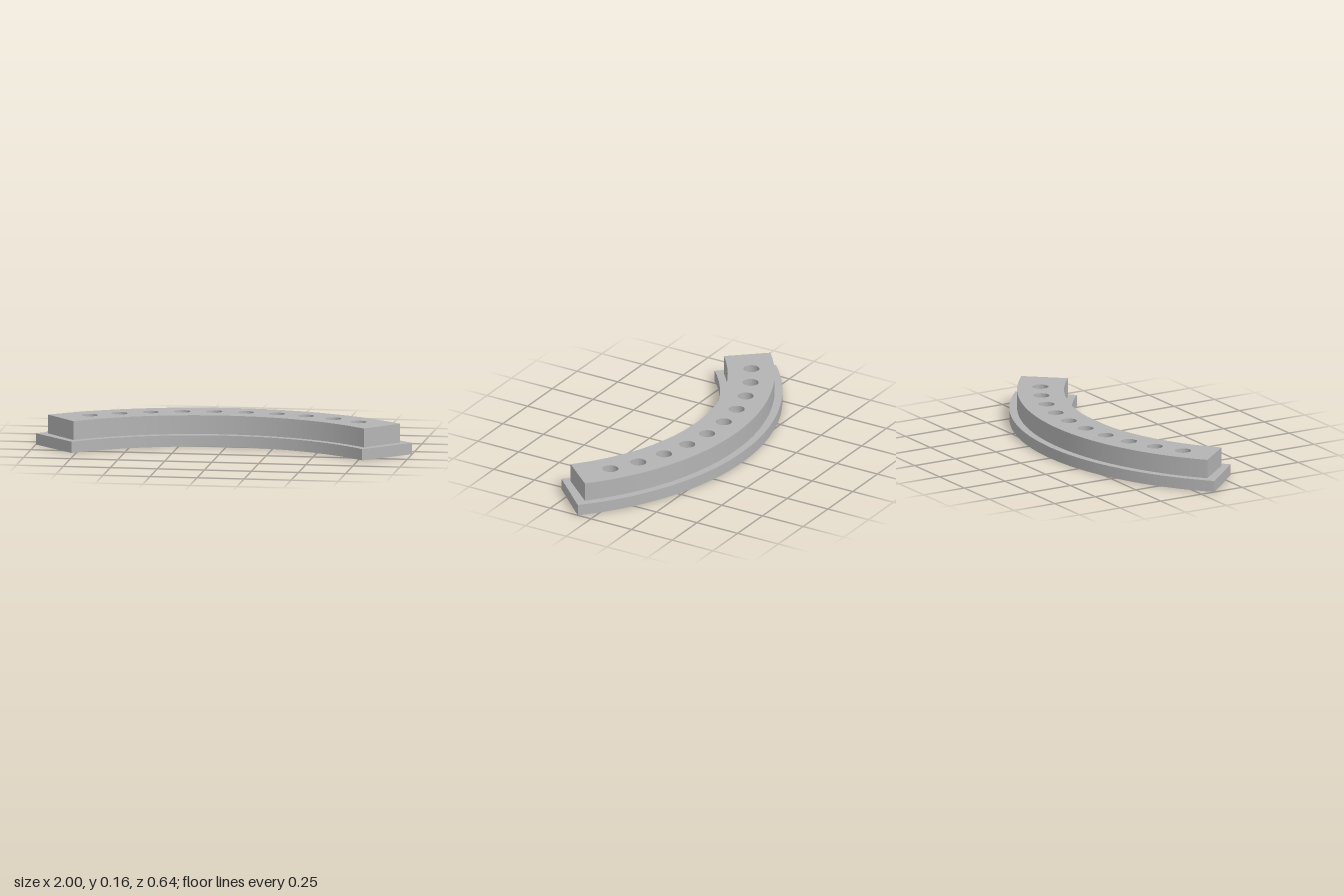
import * as THREE from 'three';
import { toCreasedNormals } from 'three/addons/utils/BufferGeometryUtils.js';

// Circle through (-x, zEnd), (0, zMid), (x, zEnd); shape y is -z
function arcThrough(x, zEnd, zMid) {
  const sag = zEnd - zMid;
  const radius = (x * x + sag * sag) / (2 * sag);
  const cy = -zMid - radius;
  return { cy, radius, end: Math.atan2(-zEnd - cy, x) };
}

// Curved bar with a row of round through holes
function curvedBar(outer, inner, height) {
  const shape = new THREE.Shape();
  shape.absarc(0, outer.cy, outer.radius, outer.end, Math.PI - outer.end, false);
  shape.absarc(0, inner.cy, inner.radius, Math.PI - inner.end, inner.end, true);
  shape.closePath();

  const count = 10, holeRing = 1.29, ringZ = 1.133;
  for (let i = 0; i < count; i++) {
    const a = THREE.MathUtils.degToRad(-33.75 + i * 7.467);
    const hole = new THREE.Path();
    hole.absarc(holeRing * Math.sin(a), holeRing * Math.cos(a) - ringZ, 0.042, 0, Math.PI * 2, true);
    shape.holes.push(hole);
  }
  const geometry = new THREE.ExtrudeGeometry(shape, { depth: height, bevelEnabled: false, curveSegments: 48 });
  geometry.rotateX(-Math.PI / 2);
  return toCreasedNormals(geometry, 0.5);
}

export function createModel() {
  const group = new THREE.Group();
  group.name = 'curvedPerforatedBar';
  const grey = new THREE.MeshStandardMaterial({ color: 0xb4b4b4 });
  grey.name = 'grey';

  // Wide flange at the bottom
  const flange = new THREE.Mesh(
    curvedBar(arcThrough(1, 0.081, -0.32), arcThrough(0.772, 0.32, 0.005), 0.06), grey);
  flange.name = 'baseFlange';

  // Narrower raised body
  const body = new THREE.Mesh(
    curvedBar(arcThrough(0.935, 0.077, -0.28), arcThrough(0.772, 0.264, -0.035), 0.1), grey);
  body.name = 'raisedBody';
  body.position.y = 0.06;

  group.add(flange, body);
  return group;
}
